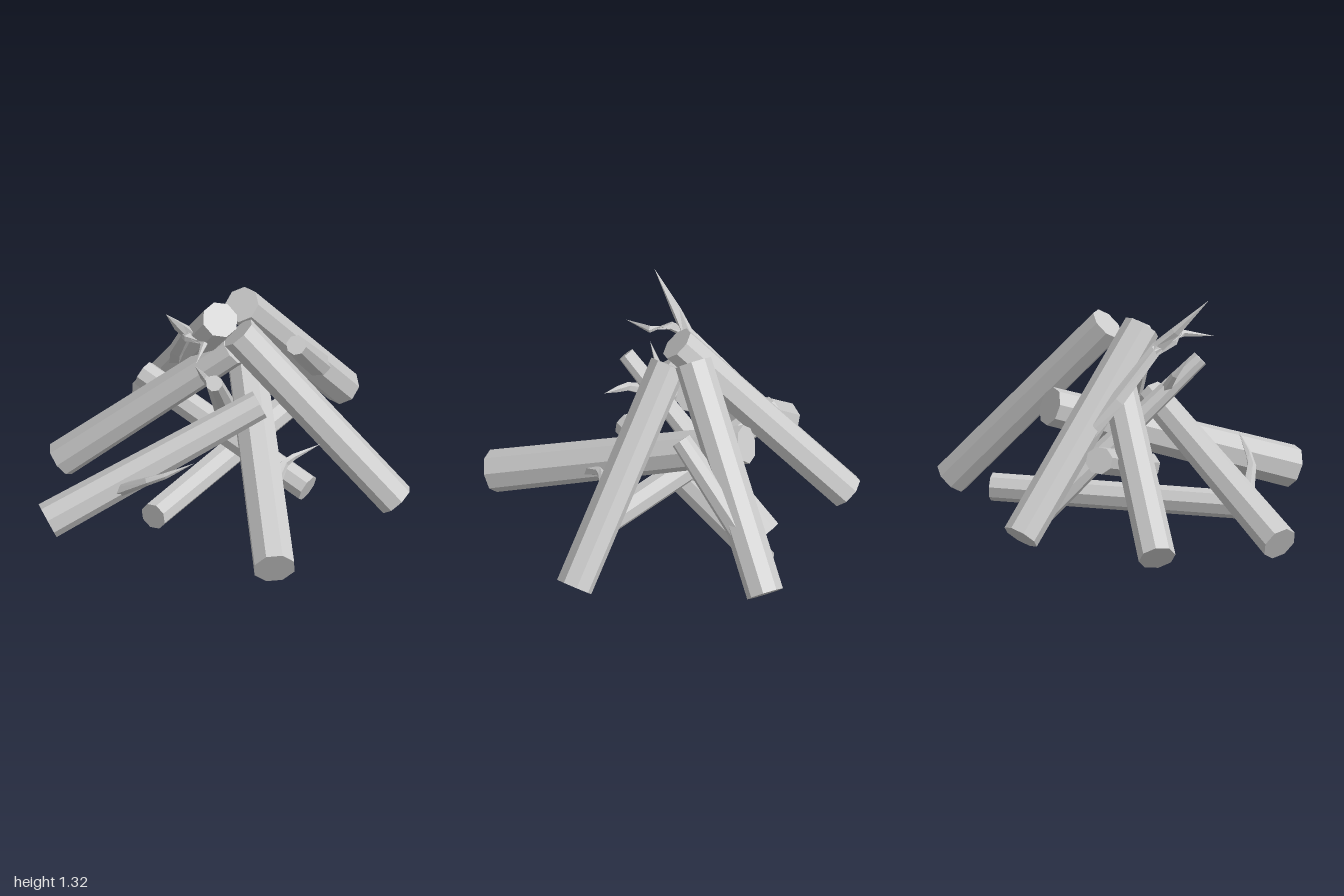
import * as THREE from 'three';

const material = new THREE.MeshStandardMaterial({ color: 0xcccccc, flatShading: true });
const V = (p) => new THREE.Vector3(...p);

// Straight eight-sided log from one end to the other, with flat caps
function log(name, from, to, r0, r1 = r0) {
  const a = V(from), b = V(to), dir = b.clone().sub(a);
  const geometry = new THREE.CylinderGeometry(r1, r0, dir.length(), 8);
  geometry.rotateY(Math.PI / 8);
  const mesh = new THREE.Mesh(geometry, material);
  mesh.name = name;
  mesh.position.copy(a).add(b).multiplyScalar(0.5);
  mesh.quaternion.setFromUnitVectors(new THREE.Vector3(0, 1, 0), dir.normalize());
  return mesh;
}

// Bent twig: five-sided rings along the points, closing to a sharp tip
function twig(name, points, radii, sides = 5) {
  const pts = points.map(V), pos = [], index = [];
  pts.forEach((p, i) => {
    const t = pts[Math.min(i + 1, pts.length - 1)].clone().sub(pts[Math.max(i - 1, 0)]).normalize();
    const u = new THREE.Vector3(0.3, 0.1, 0.9).cross(t).normalize();
    const w = t.clone().cross(u);
    for (let k = 0; k < sides; k++) {
      const a = (k / sides) * Math.PI * 2;
      const q = p.clone().addScaledVector(u, Math.cos(a) * radii[i]).addScaledVector(w, Math.sin(a) * radii[i]);
      pos.push(q.x, q.y, q.z);
      if (i > 0) {
        const n = (k + 1) % sides, lo = (i - 1) * sides, hi = i * sides;
        index.push(lo + k, lo + n, hi + n, lo + k, hi + n, hi + k);
      }
    }
  });
  const geometry = new THREE.BufferGeometry();
  geometry.setAttribute('position', new THREE.Float32BufferAttribute(pos, 3));
  geometry.setIndex(index);
  geometry.computeVertexNormals();
  const mesh = new THREE.Mesh(geometry, material);
  mesh.name = name;
  return mesh;
}

export function createModel() {
  const group = new THREE.Group();
  group.name = 'logPile';
  group.add(
    // Large logs leaning together at the peak
    log('rightLog', [0.925, 0.08, 0.17], [0.095, 1.04, -0.035], 0.1),
    log('backLeftLog', [-0.32, 0.15, -0.89], [0.0, 1.12, -0.045], 0.1),
    log('backRightLog', [0.71, 0.17, -0.84], [0.125, 1.12, -0.19], 0.1),
    // Lower logs resting in the pile
    log('frontLog', [0.22, 0.15, 0.92], [0.16, 0.69, -0.51], 0.115, 0.105),
    log('leftFrontLog', [-0.95, 0.14, 0.34], [0.2, 0.67, 0.1], 0.1, 0.08),
    log('leftBackLog', [-0.83, 0.11, -0.32], [0.08, 0.86, -0.16], 0.1, 0.09),
    // Thin logs inside the pile
    log('innerPole', [0.11, 0.1, -0.61], [-0.055, 0.92, 0.27], 0.075, 0.045),
    log('groundLog', [-0.39, 0.18, 0.4], [0.45, 0.18, -0.72], 0.075),
    log('crossLog', [0.45, 0.18, 0.18], [-0.38, 0.54, -0.46], 0.075),
    // Cut branch on the back right log
    log('branchStub', [0.57, 0.42, -0.66], [0.42, 0.82, -0.24], 0.075, 0.055)
  );
  // Forked branch on the back left log
  const fork = [-0.18, 1.06, -0.03];
  group.add(
    twig('branch', [[-0.2, 0.58, -0.5], [-0.21, 0.8, -0.28], fork, [-0.23, 1.15, 0.05], [-0.31, 1.33, 0.21]],
      [0.05, 0.045, 0.035, 0.028, 0]),
    twig('branchFork', [[-0.19, 1.04, -0.06], [-0.18, 1.08, 0.06], [-0.1, 1.09, 0.15], [-0.155, 1.07, 0.31]],
      [0.03, 0.025, 0.02, 0])
  );
  // Small twigs
  group.add(
    twig('leftTwig', [[-0.6, 0.28, 0.3], [-0.42, 0.41, 0.41], [-0.33, 0.45, 0.43], [-0.17, 0.53, 0.44]],
      [0.04, 0.024, 0.018, 0]),
    twig('frontTwig', [[0.25, 0.33, 0.4], [0.32, 0.4, 0.27], [0.37, 0.42, 0.24], [0.52, 0.46, 0.185]],
      [0.035, 0.024, 0.018, 0]),
    twig('crossTwig', [[0.06, 0.31, -0.1], [0.1, 0.35, -0.28], [0.12, 0.36, -0.35], [0.17, 0.37, -0.53]],
      [0.035, 0.024, 0.018, 0]),
    twig('poleTwig', [[-0.03, 0.76, 0.08], [-0.1, 0.86, 0.1], [-0.15, 0.97, 0.17]], [0.03, 0.02, 0])
  );
  return group;
}
